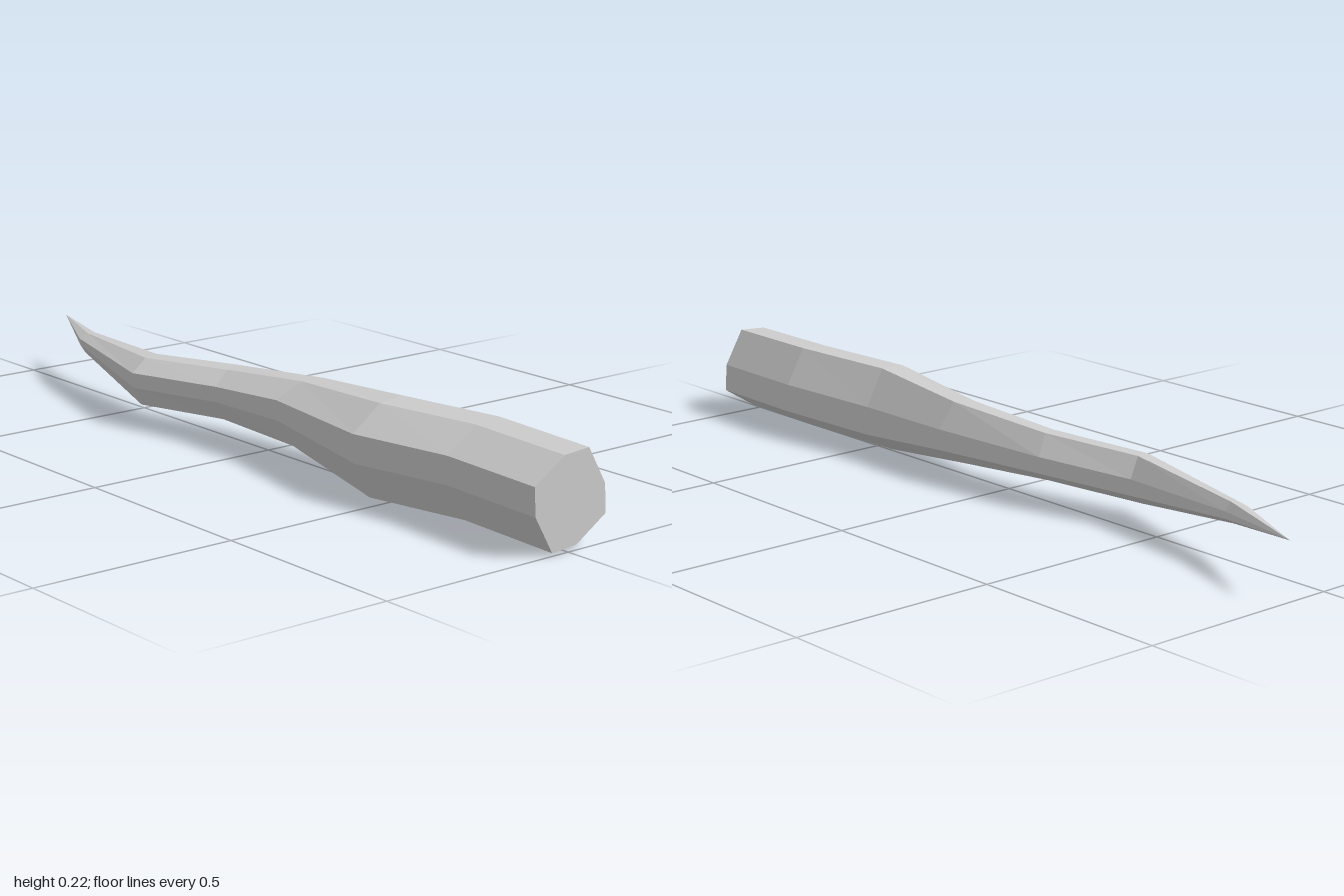
import * as THREE from 'three';

// Eight-sided cross-section, in fractions of each ring's width and height (counter-clockwise from the front)
const half = [[1, 0.275], [0.976, 0.592], [0.736, 1], [0.4, 0.976]];
const profile = [...half, ...half.map(([u, v]) => [1 - u, 1 - v])];

// Rings from the butt to near the tip: z, left x, right x, bottom y, top y, z shift across the width
const rings = [
  [1.0, -0.102, 0.108, 0.007, 0.218, 0],
  [0.72, -0.092, 0.121, 0.009, 0.222, -0.01],
  [0.44, -0.122, 0.09, 0.0, 0.217, -0.02],
  [0.125, -0.057, 0.094, 0.038, 0.195, 0.05],
  [-0.145, -0.065, 0.06, 0.053, 0.174, -0.05],
  [-0.4, -0.115, 0.001, 0.044, 0.162, -0.025],
  [-0.755, -0.011, 0.039, 0.094, 0.145, 0.02],
];
const tip = [0.108, 0.135, -1];

function hornGeometry() {
  const n = profile.length;
  const points = rings.map(([z, x0, x1, y0, y1, skew]) =>
    profile.map(([u, v]) => [x0 + u * (x1 - x0), y0 + v * (y1 - y0), z + skew * (u - 0.5)]));
  const positions = [];
  const tri = (a, b, c) => positions.push(...a, ...b, ...c);
  const last = points.length - 1;

  for (let j = 0; j < n; j++) {
    const k = (j + 1) % n;
    // Faceted sides
    for (let i = 0; i < last; i++) {
      const [a, b, c, d] = [points[i][j], points[i][k], points[i + 1][k], points[i + 1][j]];
      tri(a, d, b);
      tri(b, d, c);
    }
    // Pointed end
    tri(points[last][j], tip, points[last][k]);
    // Flat butt
    if (j > 0 && j < n - 1) tri(points[0][0], points[0][j], points[0][k]);
  }
  const geometry = new THREE.BufferGeometry();
  geometry.setAttribute('position', new THREE.Float32BufferAttribute(positions, 3));
  geometry.computeVertexNormals();
  return geometry;
}

export function createModel() {
  const grey = new THREE.MeshStandardMaterial({ color: 0xcccccc, flatShading: true });
  grey.name = 'light grey';

  const horn = new THREE.Mesh(hornGeometry(), grey);
  horn.name = 'horn';

  const group = new THREE.Group();
  group.name = 'wavyHorn';
  group.add(horn);
  return group;
}
